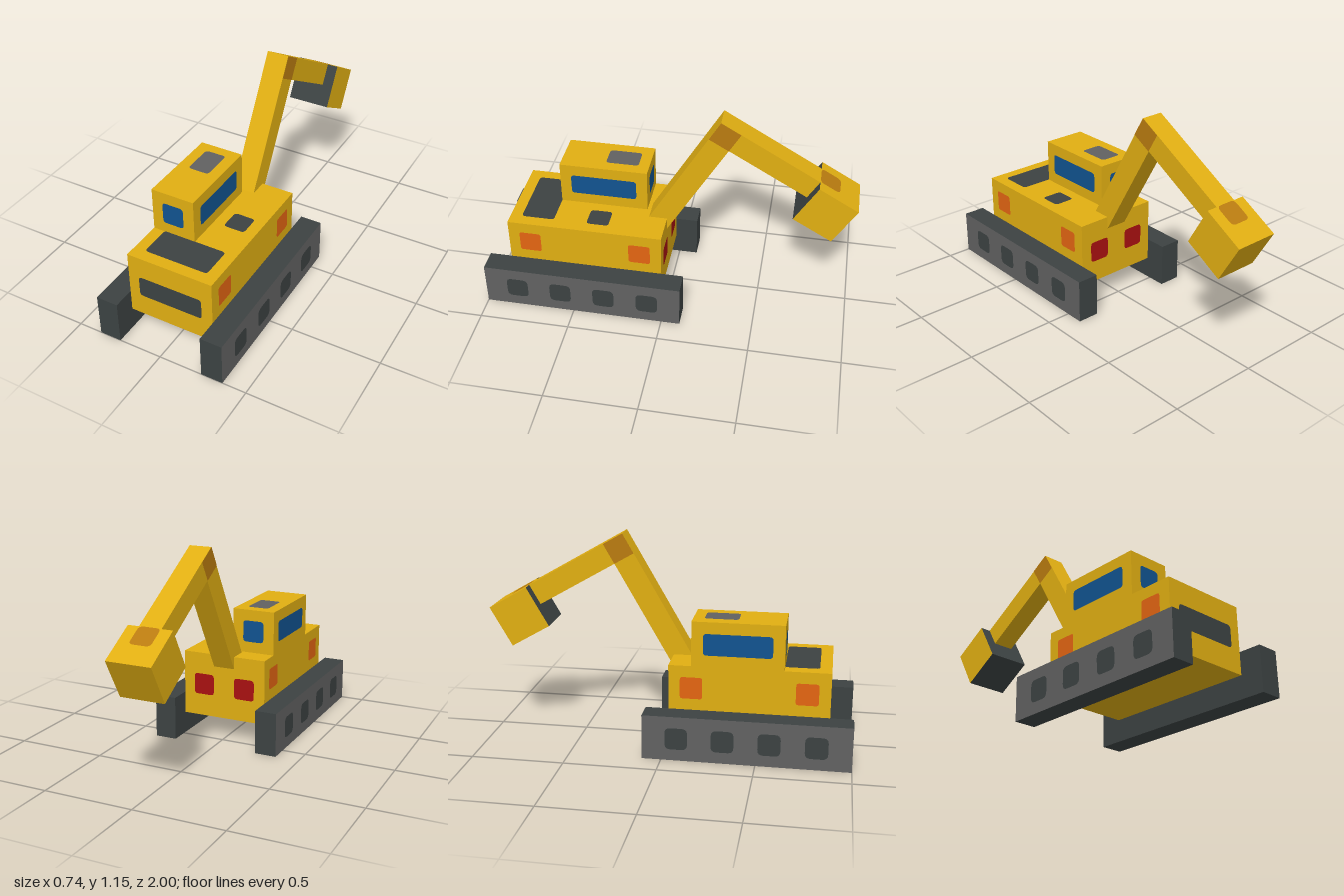
import * as THREE from 'three';

export function createModel() {
  const model = new THREE.Group();
  model.name = 'excavator';

  const mat = (name, color) => {
    const m = new THREE.MeshStandardMaterial({ color });
    m.name = name;
    return m;
  };
  const yellow = mat('yellow', 0xe0ae12);
  const slate = mat('slate', 0x3c4242);
  const grey = mat('grey', 0x616161);
  const blue = mat('windowBlue', 0x115390);
  const orange = mat('orange', 0xe36512);
  const red = mat('red', 0xa81010);
  const brown = mat('jointBrown', 0xb97b10);

  const U = 0.1225; // basic module of the blocky proportions

  // Box given by its min and max on each axis
  const box = (name, parent, material, [x0, x1], [y0, y1], [z0, z1]) => {
    const mesh = new THREE.Mesh(new THREE.BoxGeometry(x1 - x0, y1 - y0, z1 - z0), material);
    mesh.position.set((x0 + x1) / 2, (y0 + y1) / 2, (z0 + z1) / 2);
    mesh.name = name;
    parent.add(mesh);
    return mesh;
  };

  // Thin rounded panel lying just off a face
  const turns = {
    front: [0, 0], back: [0, Math.PI], left: [0, Math.PI / 2],
    right: [0, -Math.PI / 2], top: [-Math.PI / 2, 0],
  };
  const panel = (name, parent, material, face, w, h, [x, y, z], r = 0.02) => {
    const a = w / 2, b = h / 2;
    const s = new THREE.Shape();
    s.moveTo(-a + r, -b);
    s.lineTo(a - r, -b);
    s.quadraticCurveTo(a, -b, a, -b + r);
    s.lineTo(a, b - r);
    s.quadraticCurveTo(a, b, a - r, b);
    s.lineTo(-a + r, b);
    s.quadraticCurveTo(-a, b, -a, b - r);
    s.lineTo(-a, -b + r);
    s.quadraticCurveTo(-a, -b, -a + r, -b);
    const mesh = new THREE.Mesh(new THREE.ShapeGeometry(s, 4), material);
    mesh.rotation.set(turns[face][0], turns[face][1], 0);
    mesh.position.set(x, y, z);
    mesh.translateZ(0.002);
    mesh.name = name;
    parent.add(mesh);
  };

  // Body with grilles, hatch and lamps
  box('body', model, yellow, [-2 * U, 2 * U], [U, 4 * U], [0.02, 0.877]);
  panel('frontGrille', model, slate, 'front', 0.367, 0.12, [0, 0.308, 0.877]);
  panel('hoodGrille', model, slate, 'top', 0.363, 0.182, [0, 4 * U, 0.722]);
  panel('hatch', model, slate, 'top', 0.12, 0.122, [U, 4 * U, 0.387]);

  // Cab with windows and roof panel
  box('cab', model, yellow, [-2 * U, 0], [4 * U, 6 * U], [0.142, 0.632]);
  panel('frontWindow', model, blue, 'front', 0.122, 0.122, [-U, 5 * U, 0.632]);
  panel('backWindow', model, blue, 'back', 0.122, 0.122, [-U, 5 * U, 0.142]);
  panel('leftWindow', model, blue, 'left', 0.367, 0.118, [0, 5 * U, 0.387]);
  panel('rightWindow', model, blue, 'right', 0.367, 0.118, [-2 * U, 5 * U, 0.387]);
  panel('roofPanel', model, grey, 'top', 0.12, 0.182, [-U, 6 * U, 0.293]);

  // Mirrored tracks, wheels and lamps
  for (const side of [1, -1]) {
    const face = side > 0 ? 'left' : 'right';
    const sides = [slate, slate, slate, slate, slate, slate];
    sides[side > 0 ? 0 : 1] = grey;
    const xs = side > 0 ? [2 * U, 3 * U] : [-3 * U, -2 * U];
    box(face + 'Track', model, sides, xs, [0, 2 * U], [-0.103, 1]);
    for (const z of [0.816, 0.571, 0.326, 0.081]) {
      panel(face + 'Wheel', model, slate, face, 0.12, 0.12, [side * 3 * U, U, z], 0.03);
    }
    for (const z of [0.755, 0.142]) {
      panel(face + 'Marker', model, orange, face, 0.12, 0.12, [side * 2 * U, 3 * U, z], 0.015);
    }
    panel('tailLamp', model, red, 'back', 0.12, 0.12, [side * U, 0.308, 0.02]);
  }

  // Digging arm, built square and tilted about its top corner
  const digger = new THREE.Group();
  digger.name = 'diggingArm';
  digger.position.set(0, 1.15, -0.26);
  digger.rotation.x = -Math.PI / 6;
  model.add(digger);
  const half = U / 2, reach = -0.608;
  box('boom', digger, yellow, [-half, half], [-0.86, 0], [-U, 0]);
  box('stick', digger, yellow, [-half, half], [-U, 0], [reach, -U]);
  box('bucket', digger, [yellow, yellow, yellow, slate, slate, yellow],
    [-U, U], [-2 * U, 0], [reach - 2 * U, reach]);
  panel('leftElbow', digger, brown, 'left', U, U, [half, -half, -half], 0.004);
  panel('rightElbow', digger, brown, 'right', U, U, [-half, -half, -half], 0.004);
  panel('bucketPin', digger, brown, 'top', 0.118, U, [0, 0, reach - half], 0.025);

  return model;
}
